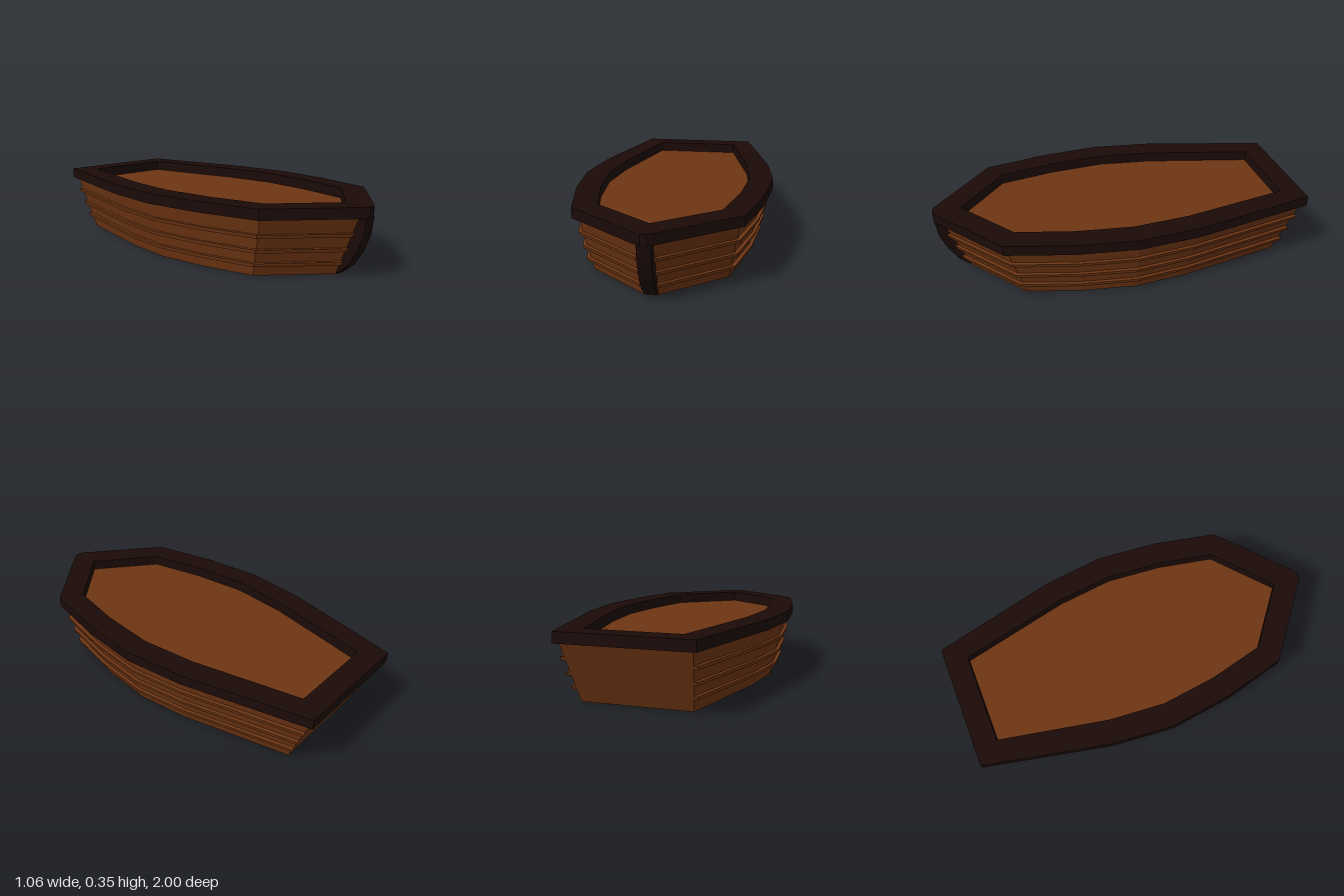
import * as THREE from 'three';

const wood = new THREE.MeshStandardMaterial({ color: 0x6e3513, flatShading: true });
const darkWood = new THREE.MeshStandardMaterial({ color: 0x1b0b08, flatShading: true });

const TOP = 0.30, RIM_TOP = 0.355;

// Half outlines as [x, z], from stern to bow
const hullHalf = [[0.32, -0.975], [0.465, -0.32], [0.5, 0], [0.465, 0.32], [0.39, 0.65], [0.03, 0.957]];
const rimHalf = [[0.34, -1], [0.495, -0.33], [0.53, 0], [0.495, 0.33], [0.418, 0.67], [0.038, 0.985], [0.015, 0.998]];
const wellHalf = [[0.245, -0.88], [0.37, -0.3], [0.4, 0], [0.37, 0.3], [0.305, 0.6], [0, 0.85]];

// Full outline: down the +x side, round the bow and back up the -x side
function mirrored(half) {
  const other = half.filter(([x]) => x > 0).reverse().map(([x, z]) => [-x, z]);
  return [...half, ...other];
}

// Hull outline at height y: narrower towards the bottom
function hullScale(y) {
  return 0.874 + 0.126 * y / TOP;
}

// Skin through closed convex rings, capped at both ends
function loft(rings) {
  const n = rings[0].length;
  const index = [];
  for (let r = 0; r < rings.length - 1; r++) {
    for (let i = 0; i < n; i++) {
      const a = r * n + i, b = r * n + (i + 1) % n;
      index.push(a, a + n, b, b, a + n, b + n);
    }
  }
  const last = (rings.length - 1) * n;
  for (let i = 1; i < n - 1; i++) {
    index.push(0, i, i + 1, last, last + i + 1, last + i);
  }
  const geometry = new THREE.BufferGeometry();
  geometry.setAttribute('position', new THREE.Float32BufferAttribute(rings.flat(2), 3));
  geometry.setIndex(index);
  const flat = geometry.toNonIndexed();
  flat.computeVertexNormals();
  return flat;
}

function part(name, geometry, material) {
  const mesh = new THREE.Mesh(geometry, material);
  mesh.name = name;
  return mesh;
}

// Hull with flat bottom and deck
function makeHull() {
  const outline = mirrored(hullHalf);
  const rings = [0, TOP].map(y => outline.map(([x, z]) => [x * hullScale(y), y, z * hullScale(y)]));
  return part('hull', loft(rings), wood);
}

// Plank strip running round the sides and bow, rising slightly to the stern
function makeStrake(y) {
  const sections = mirrored(hullHalf).map(([x, z]) => {
    const yc = y - 0.01 * Math.min(z, 0);
    const point = (dy, out) => {
      const s = hullScale(yc + dy);
      const zOut = z > 0.6 ? out * 0.5 : z < -0.9 ? -out * 0.4 : 0;
      return [x * s + Math.sign(x) * out, yc + dy, z * s + zOut];
    };
    return [point(-0.009, -0.015), point(0.009, -0.015), point(0.009, 0.019), point(-0.009, 0.019)];
  });
  return part('strake', loft(sections), wood);
}

// Thick gunwale frame around the deck; the hole runs opposite to the rim
function makeRim() {
  const toVectors = half => mirrored(half).map(([x, z]) => new THREE.Vector2(x, -z));
  const shape = new THREE.Shape(toVectors(rimHalf));
  shape.holes.push(new THREE.Path(toVectors(wellHalf).reverse()));
  const geometry = new THREE.ExtrudeGeometry(shape, { depth: RIM_TOP - TOP, bevelEnabled: false });
  geometry.rotateX(-Math.PI / 2).translate(0, TOP, 0);
  return part('gunwale', geometry, darkWood);
}

// Curved stem post at the bow, profile in z and y
function makeStem() {
  const profile = [[0.8, 0.001], [0.835, 0.001], [0.895, 0.05], [0.945, 0.125], [0.98, 0.21], [0.994, 0.305], [0.92, 0.305]];
  const shape = new THREE.Shape(profile.map(([z, y]) => new THREE.Vector2(z, y)));
  const bevel = 0.008;
  const geometry = new THREE.ExtrudeGeometry(shape, {
    depth: 0.054, bevelThickness: bevel, bevelSize: bevel, bevelOffset: -bevel, bevelSegments: 2,
  });
  geometry.translate(0, 0, -0.027).rotateY(-Math.PI / 2);
  return part('stemPost', geometry, darkWood);
}

export function createModel() {
  const boat = new THREE.Group();
  boat.name = 'boat';
  boat.add(makeHull(), makeRim(), makeStem());
  for (const y of [0.062, 0.135, 0.213]) boat.add(makeStrake(y));
  return boat;
}
